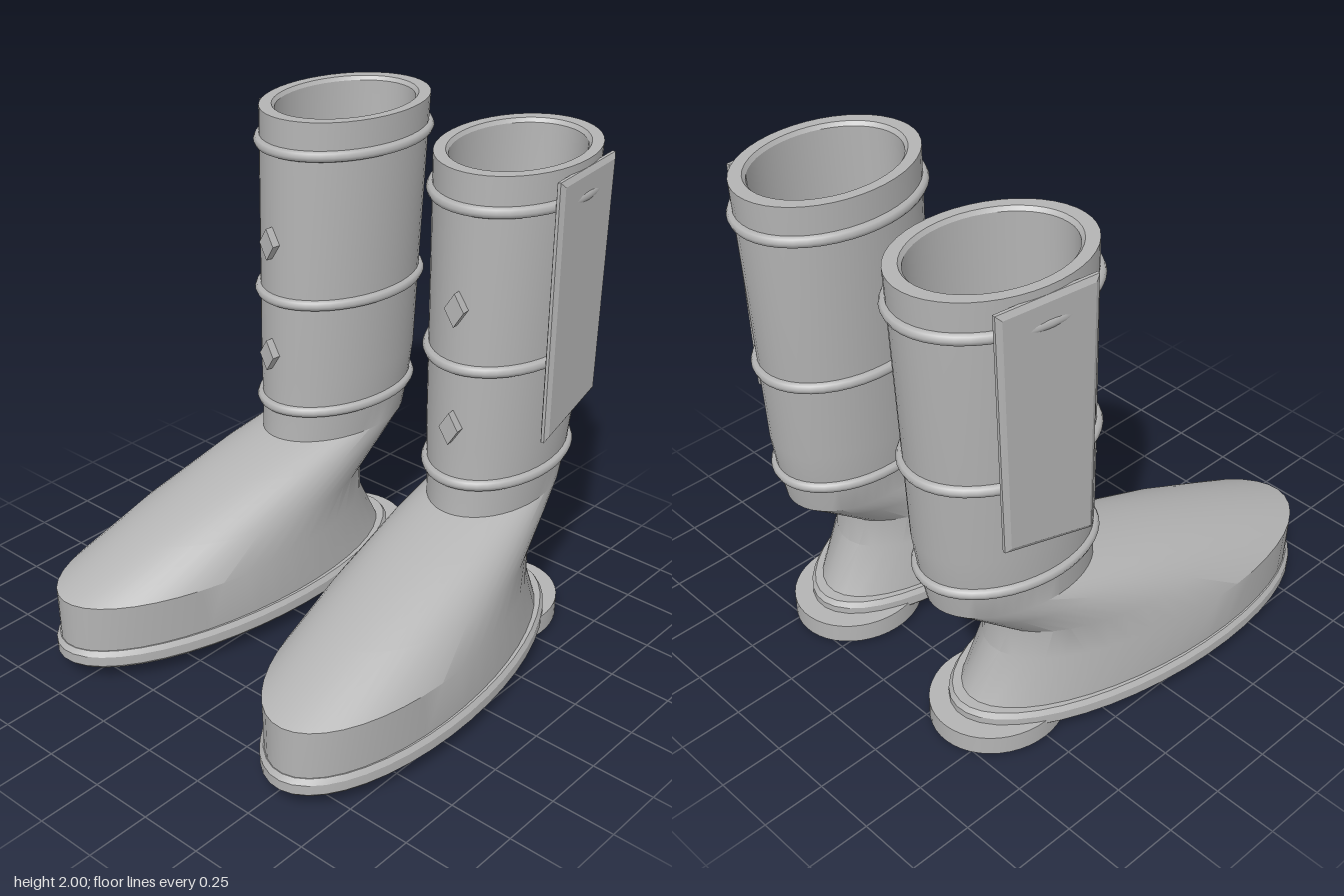
import * as THREE from 'three';
import { toCreasedNormals } from 'three/addons/utils/BufferGeometryUtils.js';

const SIDES = 44;
const grey = new THREE.MeshStandardMaterial({ color: 0xb4b4b4 });
grey.name = 'grey';

// Outer boot sections from the sole up: [y, centre z, half width, half length]
const OUTER = [
  [0.13, 0.645, 0.32, 0.787],
  [0.34, 0.70, 0.325, 0.733],
  [0.47, 0.53, 0.29, 0.56],
  [0.60, 0.245, 0.252, 0.43],
  [0.67, 0.062, 0.222, 0.334],
  [0.80, 0.045, 0.235, 0.343],
  [0.95, 0.035, 0.246, 0.354],
  [2.00, 0.0, 0.276, 0.368],
];
// Lip and lining, from the rim down to the insole
const INNER = [
  [2.00, 0.0, 0.236, 0.315],
  [1.985, 0.0, 0.226, 0.302],
  [0.95, 0.035, 0.196, 0.294],
  [0.67, 0.062, 0.172, 0.277],
  [0.47, 0.53, 0.24, 0.50],
  [0.34, 0.70, 0.275, 0.68],
  [0.20, 0.65, 0.27, 0.70],
];

// Skin a stack of elliptical sections; a zero-size section closes an end
function loft(rows, crease = 0.5) {
  const pos = [], idx = [];
  for (const [y, zc, b, a] of rows) {
    for (let j = 0; j < SIDES; j++) {
      const t = (j / SIDES) * Math.PI * 2;
      pos.push(b * Math.sin(t), y, zc + a * Math.cos(t));
    }
  }
  for (let i = 0; i < rows.length - 1; i++) {
    for (let j = 0; j < SIDES; j++) {
      const k = (j + 1) % SIDES;
      const p = i * SIDES + j, q = i * SIDES + k;
      const r = q + SIDES, s = p + SIDES;
      if (rows[i][2] > 0) idx.push(p, q, r);
      if (rows[i + 1][2] > 0) idx.push(p, r, s);
    }
  }
  const g = new THREE.BufferGeometry();
  g.setAttribute('position', new THREE.Float32BufferAttribute(pos, 3));
  g.setIndex(idx);
  return toCreasedNormals(g, crease);
}

const tip = ([y, zc]) => [y, zc, 0, 0];

// Shaft section at a given height
function sectionAt(y) {
  const i = OUTER.findIndex((s) => s[0] >= y);
  const lo = OUTER[i - 1], hi = OUTER[i];
  const t = (y - lo[0]) / (hi[0] - lo[0]);
  return lo.map((v, n) => v + (hi[n] - v) * t);
}

// Raised band with a round profile
function bandGeometry(y, r) {
  const [, zc, b, a] = sectionAt(y);
  const rows = [];
  for (let n = 0; n <= 8; n++) {
    const p = -Math.PI + (n / 8) * Math.PI * 2;
    const o = r * Math.cos(p);
    rows.push([y + r * Math.sin(p), zc, b + o, a + o]);
  }
  return loft(rows, 0.9);
}

function polygon(points) {
  return new THREE.Shape(points.map(([x, y]) => new THREE.Vector2(x, y)));
}

function add(group, name, geometry) {
  const mesh = new THREE.Mesh(geometry, grey);
  mesh.name = name;
  group.add(mesh);
  return mesh;
}

function buildBoot(side) {
  const boot = new THREE.Group();
  boot.name = side > 0 ? 'leftBoot' : 'rightBoot';

  // Foot, shaft, rim and lining in one skin
  add(boot, 'bootBody', loft([tip(OUTER[0]), ...OUTER, ...INNER, tip(INNER[INNER.length - 1])]));

  // Welted sole with chamfered edges
  const z = 0.63;
  add(boot, 'sole', loft([
    [0.07, z, 0, 0], [0.07, z, 0.33, 0.805], [0.085, z, 0.343, 0.82],
    [0.125, z, 0.343, 0.82], [0.145, z, 0.33, 0.805], [0.145, z, 0, 0],
  ]));

  // Heel block
  add(boot, 'heel', loft([
    [0, 0, 0, 0], [0, 0, 0.222, 0.247], [0.018, 0, 0.24, 0.266],
    [0.098, 0, 0.24, 0.266], [0.098, 0, 0, 0],
  ]));

  // Bands round the shaft
  for (const y of [0.805, 1.27, 1.87]) add(boot, 'shaftBand', bandGeometry(y, 0.022));

  // Diamond studs down the front
  const diamond = polygon([[0, -0.065], [0.04, 0], [0, 0.065], [-0.04, 0]]);
  for (const y of [1.037, 1.503]) {
    const [, zc, , a] = sectionAt(y);
    const stud = add(boot, 'diamondStud',
      new THREE.ExtrudeGeometry(diamond, { depth: 0.045, bevelEnabled: false }));
    stud.position.set(0, y, zc + a - 0.015);
  }

  // Slanted plate on the outer side
  const e = 0.02;
  const outline = polygon([
    [-0.2 + e, 0.97 + e], [0.17 - e, 1.04 + e], [0.2 - e, 1.97 - e], [-0.2 + e, 1.97 - e],
  ]);
  const plate = new THREE.ExtrudeGeometry(outline, {
    depth: 0.012, bevelEnabled: true, bevelSegments: 1, bevelSize: e, bevelThickness: 0.011,
  });
  plate.translate(0, 0, -0.006);
  plate.rotateY(Math.PI / 2);
  add(boot, 'sidePlate', plate).position.x = side * 0.27;

  // Toes turn slightly outward
  boot.position.set(side * 0.408, 0, -0.53);
  boot.rotation.y = side * 0.11;
  return boot;
}

export function createModel() {
  const model = new THREE.Group();
  model.name = 'boots';
  model.add(buildBoot(1), buildBoot(-1));
  return model;
}
